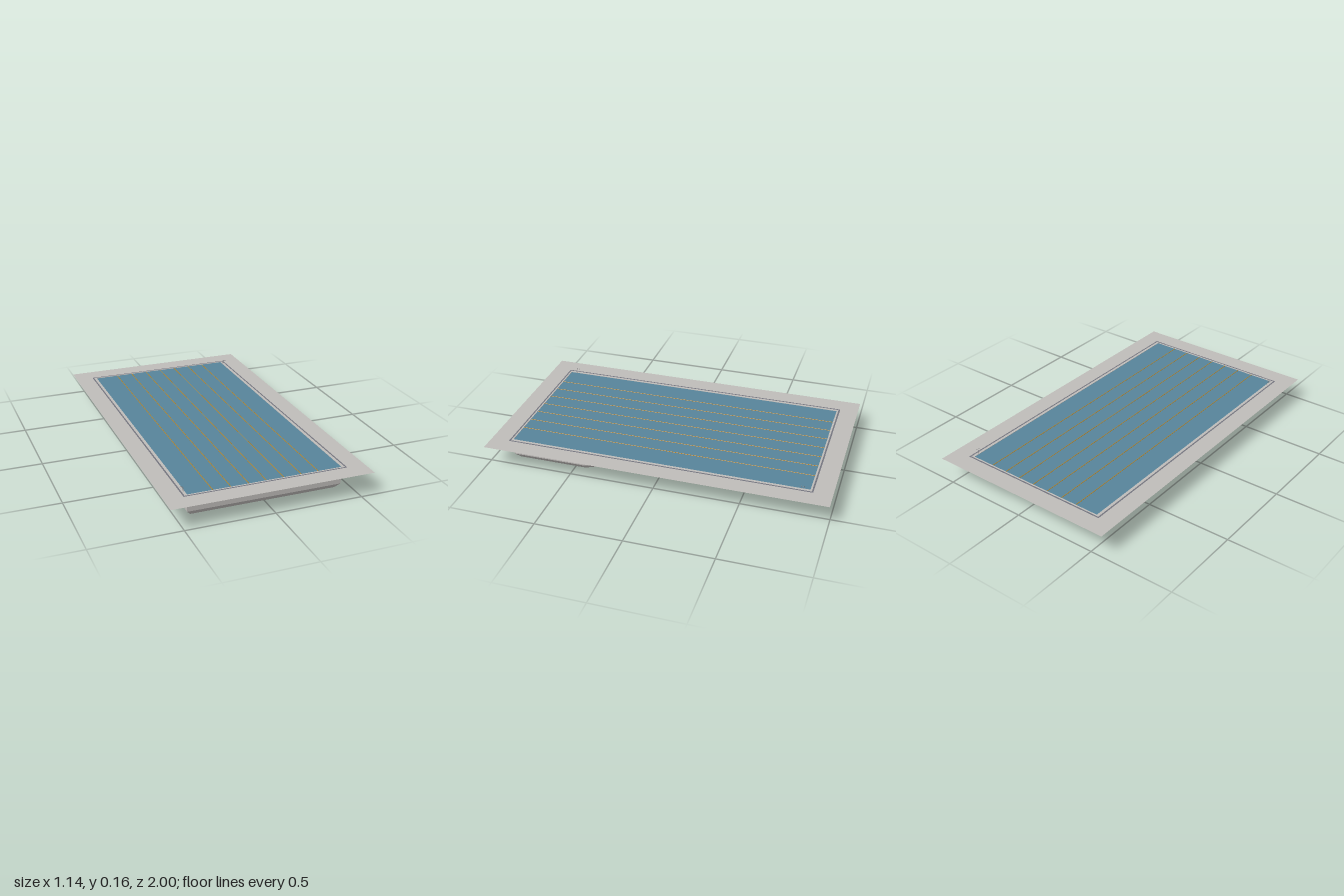
import * as THREE from 'three';

const material = (name, color, side = THREE.FrontSide) => {
  const m = new THREE.MeshStandardMaterial({ color, side });
  m.name = name;
  return m;
};

const HALF_W = 0.44, HALF_L = 0.875, TOP = 0.13;

// Flat horizontal rectangle with an optional rectangular opening
function flatFrame(name, w, l, y, mat, hw, hl) {
  const rect = (P, a, b) => {
    const p = new P();
    p.moveTo(-a, -b); p.lineTo(a, -b); p.lineTo(a, b); p.lineTo(-a, b); p.closePath();
    return p;
  };
  const shape = rect(THREE.Shape, w, l);
  if (hw) shape.holes.push(rect(THREE.Path, hw, hl));
  const mesh = new THREE.Mesh(new THREE.ShapeGeometry(shape).rotateX(-Math.PI / 2), mat);
  mesh.position.y = y;
  mesh.name = name;
  return mesh;
}

// Open shell: deep end, sloping floor and shallow end, with chamfered lower edges
function basinGeometry() {
  // z, height of wall foot, height of floor, inset of floor
  const stations = [
    [-HALF_L, 0.07, 0.07, 0],
    [-HALF_L + 0.005, 0.07, 0.065, 0.005],
    [0.26, 0.07, 0.065, 0.005],
    [0.44, 0.03, 0, 0.025],
    [HALF_L - 0.025, 0.03, 0, 0.025],
    [HALF_L, 0.03, 0.03, 0],
  ];
  const sections = stations.map(([z, foot, floor, inset]) => [
    [-HALF_W, TOP, z], [-HALF_W, foot, z], [-HALF_W + inset, floor, z],
    [HALF_W - inset, floor, z], [HALF_W, foot, z], [HALF_W, TOP, z],
  ]);
  const pos = [];
  const quad = (a, b, c, d) => pos.push(...a, ...b, ...c, ...a, ...c, ...d);
  for (let i = 0; i < sections.length - 1; i++) {
    const s = sections[i], t = sections[i + 1];
    for (let j = 0; j < 5; j++) quad(s[j], s[j + 1], t[j + 1], t[j]);
  }
  // End walls
  const back = sections[0], front = sections[sections.length - 1];
  quad(back[0], back[5], back[4], back[1]);
  quad(front[0], front[1], front[4], front[5]);
  const g = new THREE.BufferGeometry();
  g.setAttribute('position', new THREE.Float32BufferAttribute(pos, 3));
  g.computeVertexNormals();
  return g;
}

// Ladder with two curved handrails and four treads, for the +x wall
function createLadder(mat) {
  const ladder = new THREE.Group();
  const curve = new THREE.CatmullRomCurve3([
    [0.461, 0.15], [0.457, 0.155], [0.449, 0.154], [0.445, 0.147], [0.444, 0.125], [0.444, 0.078],
  ].map(([x, y]) => new THREE.Vector3(x, y, 0)));
  const railGeo = new THREE.TubeGeometry(curve, 24, 0.001, 6);
  for (const z of [-0.007, 0.007]) {
    const rail = new THREE.Mesh(railGeo, mat);
    rail.position.z = z;
    rail.name = 'ladderRail';
    ladder.add(rail);
  }
  const treadGeo = new THREE.BoxGeometry(0.005, 0.002, 0.014);
  for (let i = 0; i < 4; i++) {
    const tread = new THREE.Mesh(treadGeo, mat);
    tread.position.set(0.443, 0.081 + i * 0.013, 0);
    tread.name = 'ladderTread';
    ladder.add(tread);
  }
  return ladder;
}

export function createModel() {
  const pool = new THREE.Group();
  pool.name = 'swimmingPool';
  const concrete = material('paleConcrete', 0xbfbcb9, THREE.DoubleSide);
  const grate = material('gutterGrey', 0x74757f, THREE.DoubleSide);
  const water = material('waterBlue', 0x57849a, THREE.DoubleSide);
  const orange = material('ropeOrange', 0xc4861a);
  const steel = material('ladderSteel', 0x8c8c90);

  // Paving, overflow gutter, coping and water surface
  pool.add(flatFrame('deck', 0.57, 1, TOP, concrete, 0.465, 0.893));
  pool.add(flatFrame('gutter', 0.465, 0.893, TOP, grate, 0.456, 0.884));
  pool.add(flatFrame('coping', 0.456, 0.884, TOP, concrete, HALF_W, HALF_L));
  pool.add(flatFrame('water', HALF_W - 0.001, HALF_L - 0.001, TOP - 0.001, water));

  const basin = new THREE.Mesh(basinGeometry(), concrete);
  basin.name = 'basin';
  pool.add(basin);

  // Lane ropes
  const ropeGeo = new THREE.CylinderGeometry(0.002, 0.002, HALF_L * 2 - 0.004, 8).rotateX(Math.PI / 2);
  for (let i = -3; i <= 3; i++) {
    const rope = new THREE.Mesh(ropeGeo, orange);
    rope.position.set(i * 0.1, TOP - 0.0005, 0);
    rope.name = 'laneRope';
    pool.add(rope);
  }

  // Ladders at two opposite corners
  for (const turn of [0, Math.PI]) {
    const holder = new THREE.Group();
    const ladder = createLadder(steel);
    ladder.position.z = -0.832;
    holder.add(ladder);
    holder.rotation.y = turn;
    holder.name = 'ladder';
    pool.add(holder);
  }
  return pool;
}
